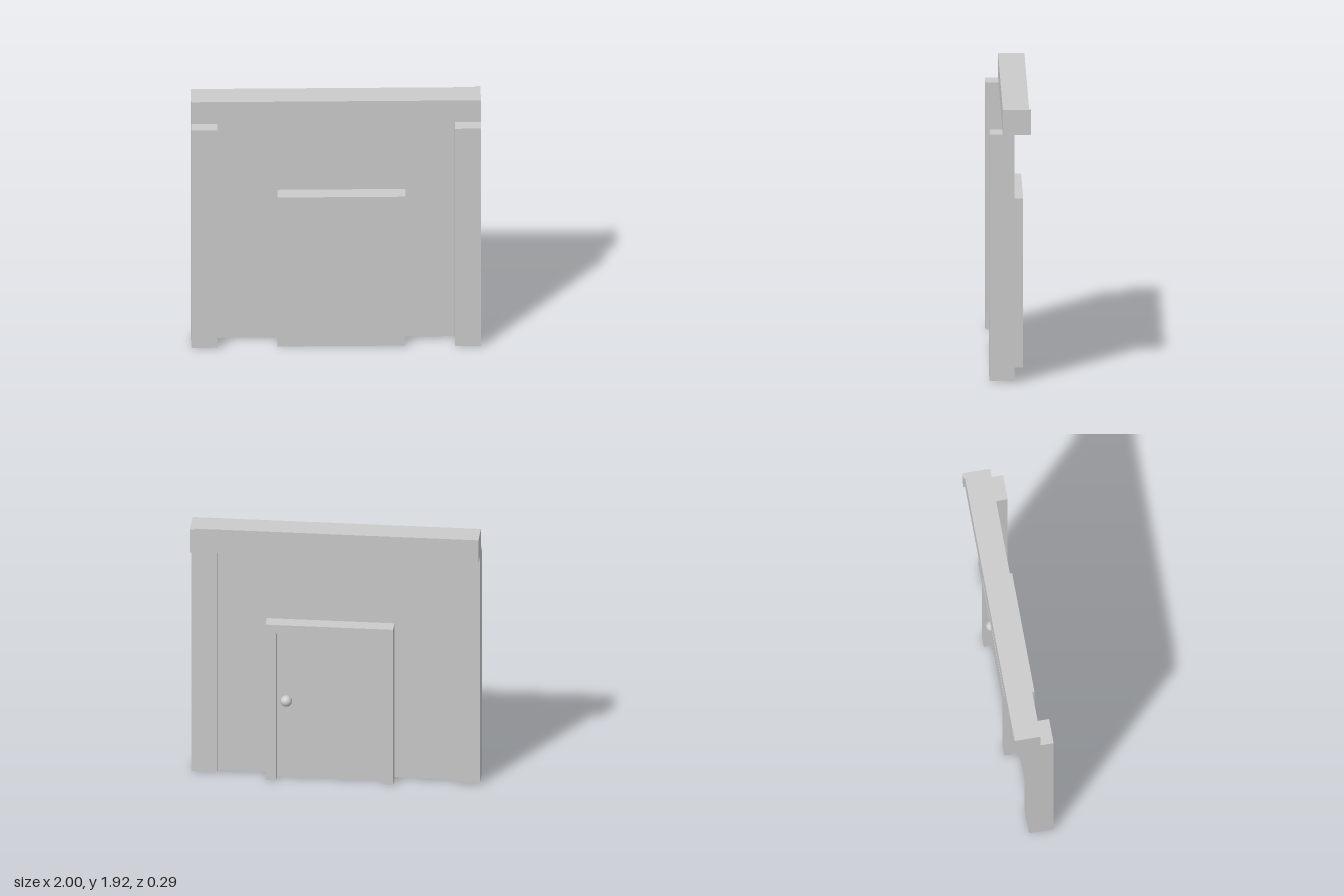
import * as THREE from 'three';

const material = new THREE.MeshStandardMaterial({ color: 0xcccccc, side: THREE.DoubleSide });

function add(group, name, geometry) {
  const mesh = new THREE.Mesh(geometry, material);
  mesh.name = name;
  group.add(mesh);
  return mesh;
}

// Box given by its two extremes on each axis
function block(group, name, [x0, x1], [y0, y1], [z0, z1]) {
  const mesh = add(group, name, new THREE.BoxGeometry(x1 - x0, y1 - y0, z1 - z0));
  mesh.position.set((x0 + x1) / 2, (y0 + y1) / 2, (z0 + z1) / 2);
  return mesh;
}

export function createModel() {
  const model = new THREE.Group();
  model.name = 'wallWithDoor';
  const base = 0.01, beamBottom = 1.742;

  // Thin wall sheet between the pillars
  const wall = add(model, 'wall', new THREE.PlaneGeometry(1.66, beamBottom - base));
  wall.position.set(0, (base + beamBottom) / 2, 0.007);

  // Pillars at both ends, standing proud of the wall on both sides
  block(model, 'leftPillar', [0.82, 1], [base, 1.747], [-0.03, 0.143]);
  block(model, 'rightPillar', [-1, -0.82], [base, 1.747], [-0.03, 0.143]);

  // Top beam, with a slightly deeper end on the left
  const plan = new THREE.Shape([
    [-1, -0.052], [1, -0.052], [1, 0.143], [0.962, 0.143], [0.962, 0.13], [-1, 0.13],
  ].map(([x, y]) => new THREE.Vector2(x, y)));
  const beam = add(model, 'topBeam',
    new THREE.ExtrudeGeometry(plan, { depth: 1.92 - beamBottom, bevelEnabled: false }));
  beam.rotation.x = -Math.PI / 2;
  beam.position.y = beamBottom;

  // Door: jambs and lintel around a slab recessed from the back
  const door = new THREE.Group();
  door.name = 'door';
  model.add(door);
  const [x0, x1, top, jamb, lintel] = [-0.405, 0.48, 1.19, 0.074, 0.063];
  const back = -0.097, front = 0.114;
  const outline = new THREE.Shape([
    [x0, 0], [x0 + jamb, 0], [x0 + jamb, top - lintel], [x1 - jamb, top - lintel],
    [x1 - jamb, 0], [x1, 0], [x1, top], [x0, top],
  ].map(([x, y]) => new THREE.Vector2(x, y)));
  const frame = add(door, 'doorFrame',
    new THREE.ExtrudeGeometry(outline, { depth: front - back, bevelEnabled: false }));
  frame.position.z = back;
  block(door, 'doorSlab', [x0 + jamb, x1 - jamb], [0, top - lintel], [-0.039, front]);

  // Round knob on the back of the door
  const knob = add(door, 'doorKnob', new THREE.SphereGeometry(0.04, 32, 20));
  knob.position.set(0.34, 0.59, -0.054);

  return model;
}
